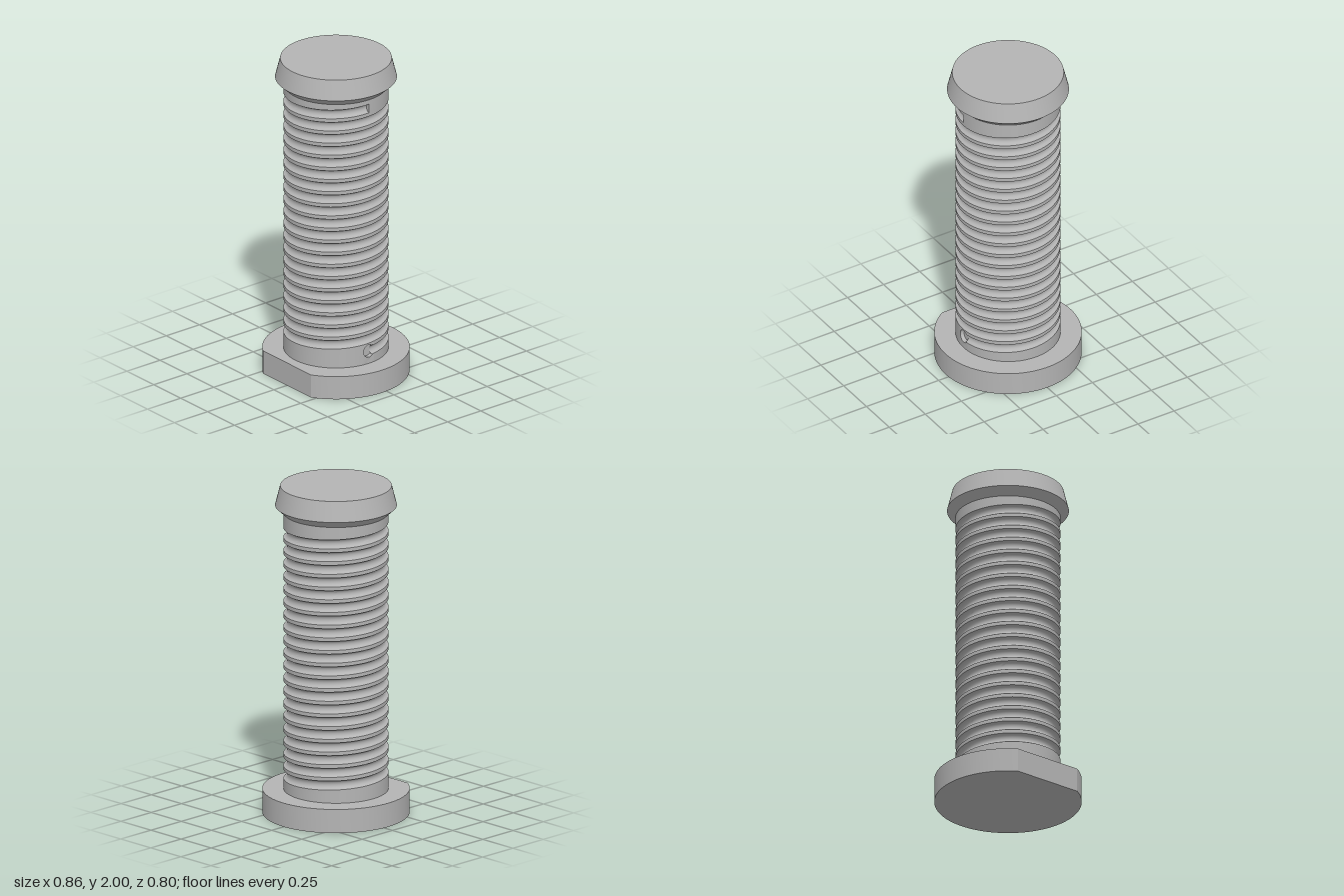
import * as THREE from 'three';
import { toCreasedNormals } from 'three/addons/utils/BufferGeometryUtils.js';

const R = 0.308, SEG = 96, TURNS = 20;       // shaft radius, facets per turn, thread turns
const Y0 = 0.225, Y1 = 1.78;                 // groove centre at its start and end
const PITCH = (Y1 - Y0) / TURNS;
const HALF = 0.0275, DEPTH = 0.025;          // groove half width and depth
const BASE = 0.145, NECK = 1.835, HOLE = 0.04;

const angle = (i) => (i / SEG) * Math.PI * 2;
const rise = (i) => Y0 + (PITCH * i) / SEG;  // groove centre height at column i
const onShaft = (i, r, y) => [r * Math.cos(angle(i)), y, -r * Math.sin(angle(i))];

// Wall made of strips: section(i) gives [radius, height] pairs from bottom to top
function wall(from, to, section) {
  const pos = [];
  for (let i = from; i < to; i++) {
    const a = section(i), b = section(i + 1);
    for (let k = 0; k < a.length - 1; k++) {
      const p = onShaft(i, ...a[k]), q = onShaft(i + 1, ...b[k]);
      const s = onShaft(i + 1, ...b[k + 1]), t = onShaft(i, ...a[k + 1]);
      pos.push(...p, ...q, ...s, ...p, ...s, ...t);
    }
  }
  const g = new THREE.BufferGeometry();
  g.setAttribute('position', new THREE.Float32BufferAttribute(pos, 3));
  return toCreasedNormals(g, 0.6);
}

// Half-round groove profile
const groove = [];
for (let k = 0; k <= 8; k++) {
  const a = (k / 8) * Math.PI;
  groove.push([R - DEPTH * Math.sin(a), -HALF * Math.cos(a)]);
}
const ridge = [[R, HALF], [R, PITCH - HALF]];
const lift = (profile) => (i) => profile.map(([r, v]) => [r, rise(i) + v]);

// Patch of shaft wall around the drilled hole, which opens into the groove
function holePatch() {
  const w = R * angle(2), slope = PITCH / (R * Math.PI * 2);
  const edge = (u) => Y0 - HALF + PITCH + slope * u;
  const open = Math.asin(HALF / HOLE), shift = slope * w;
  const pts = [[-w, BASE], [0, BASE], [w, BASE], [w, Y0 - HALF + shift]];
  for (let k = 0; k <= 32; k++) {
    const a = -open - (k / 32) * (Math.PI * 2 - 2 * open);
    pts.push([HOLE * Math.cos(a), Y0 + HOLE * Math.sin(a)]);
  }
  pts.push([w, Y0 + HALF + shift], [w, edge(w)], [0, edge(0)], [-w, edge(-w)]);
  const g = new THREE.ShapeGeometry(new THREE.Shape(pts.map((p) => new THREE.Vector2(...p))));
  const pos = g.attributes.position;
  for (let i = 0; i < pos.count; i++) {
    const t = pos.getX(i) / R;
    pos.setXYZ(i, R * Math.cos(t), pos.getY(i), -R * Math.sin(t));
  }
  g.computeVertexNormals();
  return g;
}

// Inner wall of the drilled hole, left open where the groove enters
function holeWall() {
  const open = Math.asin(HALF / HOLE), pos = [], n = 32;
  const at = (k, x) => {
    const a = open + (k / n) * (Math.PI * 2 - 2 * open), u = HOLE * Math.cos(a);
    return [x === undefined ? Math.sqrt(R * R - u * u) : x, Y0 + HOLE * Math.sin(a), -u];
  };
  const floor = R - DEPTH - 0.002;
  for (let k = 0; k < n; k++) {
    const a = at(k, floor), b = at(k + 1, floor), c = at(k + 1), d = at(k);
    pos.push(...a, ...c, ...b, ...a, ...d, ...c);
  }
  const g = new THREE.BufferGeometry();
  g.setAttribute('position', new THREE.Float32BufferAttribute(pos, 3));
  return toCreasedNormals(g, 0.6);
}

export function createModel() {
  const model = new THREE.Group();
  model.name = 'threadedPost';
  const grey = new THREE.MeshStandardMaterial({ color: 0xb4b4b4 });
  grey.name = 'grey';
  const greyOpen = grey.clone();
  greyOpen.side = THREE.DoubleSide;
  const add = (name, geometry, material = grey) => {
    const mesh = new THREE.Mesh(geometry, material);
    mesh.name = name;
    model.add(mesh);
    return mesh;
  };

  // Round base with one flat side at the front
  const start = Math.asin(-0.37 / 0.432);
  const outline = new THREE.Shape();
  outline.absarc(0, 0, 0.432, start, Math.PI - start, false);
  outline.closePath();
  const base = new THREE.ExtrudeGeometry(outline, { depth: BASE, bevelEnabled: false, curveSegments: 80 });
  base.rotateX(-Math.PI / 2);
  add('base', toCreasedNormals(base, 0.4));

  // Plain collar under the thread, thread, and plain neck above it
  const end = SEG * TURNS;
  add('lowerCollar', wall(2, SEG - 2, (i) => [[R, BASE], [R, rise(i) - HALF]]));
  add('threadGroove', wall(1, end, lift(groove)));
  add('threadRidge', wall(2, end, lift(ridge)));
  add('neck', wall(end - SEG, end, (i) => [[R, rise(i) + PITCH - HALF], [R, NECK]]));

  // Closed upper end of the groove
  const cap = new THREE.Shape(groove.map(([r, v]) => new THREE.Vector2(r, Y1 + v)));
  add('grooveEnd', new THREE.ShapeGeometry(cap));

  // Drilled hole where the groove begins
  add('holeSurround', holePatch());
  add('holeWall', holeWall(), greyOpen);
  const floor = new THREE.CircleGeometry(HOLE, 32);
  floor.rotateY(Math.PI / 2);
  add('holeFloor', floor).position.set(R - DEPTH - 0.002, Y0, 0);

  // Flared head with a tapered rim
  const profile = [[R, NECK], [0.357, 1.88], [0.327, 2], [0, 2]].map((p) => new THREE.Vector2(...p));
  add('head', toCreasedNormals(new THREE.LatheGeometry(profile, SEG), 0.4));

  model.children.forEach((part) => { part.position.z += 0.031; });
  return model;
}
